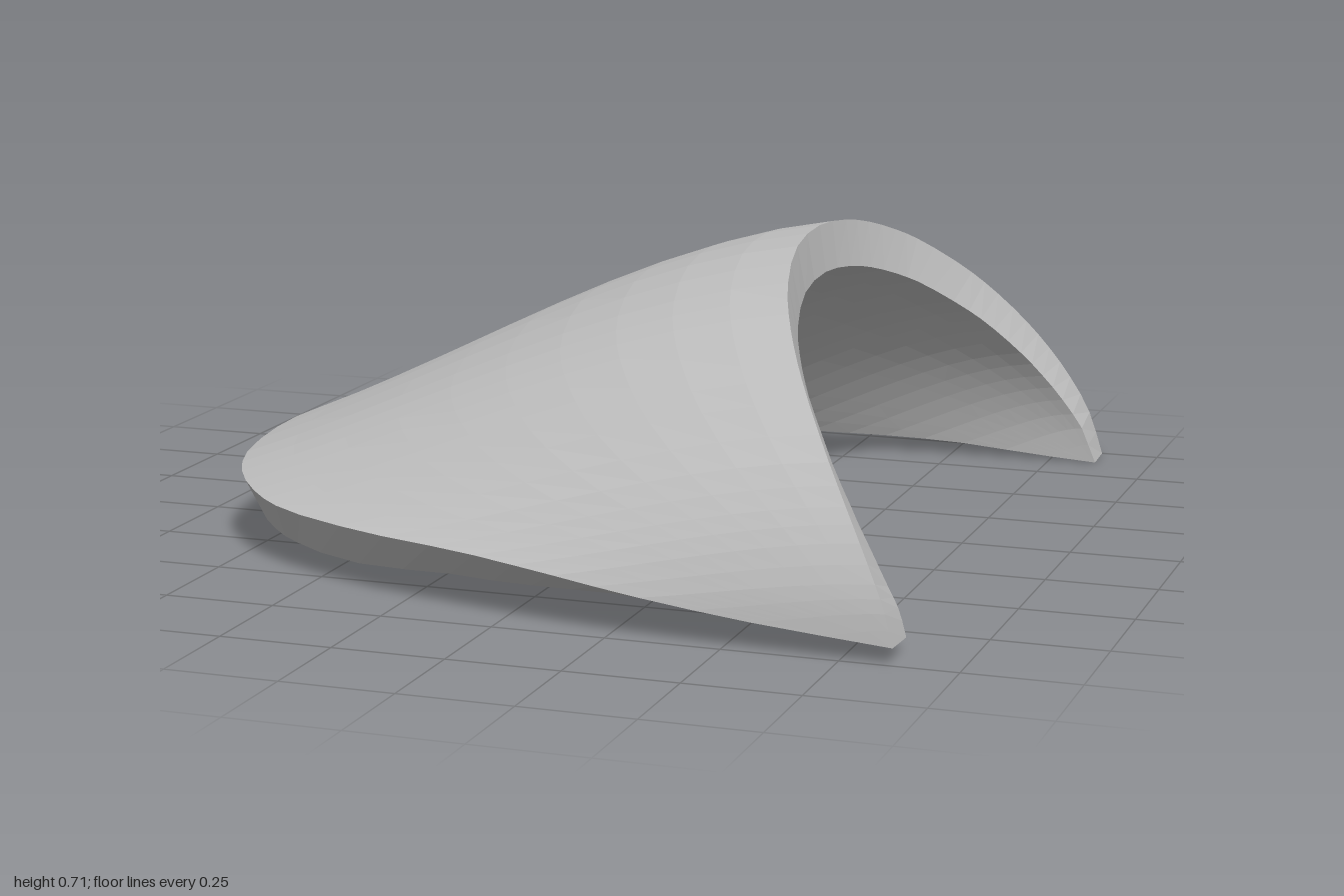
import * as THREE from 'three';

const THICKNESS = 0.108;
const COLS = 46;
const ROWS = 10;

// Lower edge, from one foot round the back to the other: x, y, z and the matching arch angle
const EDGE = [
  [0.86, 0, -1, -90], [0.62, 0.035, -0.985, -81], [0.4, 0.07, -0.96, -73],
  [0.2, 0.095, -0.92, -66], [0, 0.115, -0.86, -59], [-0.2, 0.125, -0.78, -51],
  [-0.37, 0.13, -0.7, -44], [-0.6, 0.135, -0.55, -33], [-0.7, 0.143, -0.45, -27],
  [-0.79, 0.16, -0.33, -19], [-0.84, 0.178, -0.2, -11.5], [-0.865, 0.193, -0.02, -1],
  [-0.867, 0.192, 0.2, 12], [-0.84, 0.178, 0.42, 25], [-0.79, 0.163, 0.54, 33],
  [-0.7, 0.148, 0.65, 40], [-0.6, 0.14, 0.73, 47], [-0.35, 0.14, 0.86, 58],
  [-0.1, 0.135, 0.93, 66], [0.1, 0.118, 0.97, 72], [0.3, 0.092, 0.99, 79],
  [0.55, 0.062, 0.995, 84], [0.86, 0.035, 0.995, 90],
];

// Point on the arched opening at an angle from the crown
function rimPoint(degrees) {
  const a = THREE.MathUtils.degToRad(degrees);
  const c = Math.max(0, Math.cos(a));
  const foot = 0.0175 + 0.0175 * Math.sin(a);
  return new THREE.Vector3(
    0.4 + 0.46 * (1 - Math.pow(c, 1.4)),
    foot + (0.71 - foot) * c,
    0.9975 * Math.sin(a) - 0.0025,
  );
}

const edgeCurve = new THREE.CatmullRomCurve3(EDGE.map(([x, y, z]) => new THREE.Vector3(x, y, z)));
const rimCurve = new THREE.CatmullRomCurve3(EDGE.map((p) => rimPoint(p[3])));

// Outer surface: u runs round the arch, v from the lower edge to the opening
function outerPoint(u, v) {
  const e = edgeCurve.getPoint(u);
  const r = rimCurve.getPoint(u);
  const rise = v + 0.65 * v * v * (1 - v);
  const y = e.y + (r.y - e.y) * rise;
  return e.lerp(r, v).setY(y);
}

function outerNormal(u, v) {
  const d = 0.002;
  const atFoot = u < 0.001 || u > 0.999;
  const uu = THREE.MathUtils.clamp(u, 0.008, 0.992);
  const vv = atFoot ? 0.5 : v;
  const v0 = Math.max(0, vv - d);
  const v1 = Math.min(1, vv + d);
  const du = outerPoint(uu + d, vv).sub(outerPoint(uu - d, vv));
  const dv = outerPoint(uu, v1).sub(outerPoint(uu, v0));
  return du.cross(dv).normalize();
}

// Closed solid: outer skin, inner skin, opening rim and lower edge
function shellGeometry() {
  const positions = [];
  const index = [];
  for (let i = 0; i <= COLS; i++) {
    for (let j = 0; j <= ROWS; j++) {
      const u = i / COLS;
      const v = j / ROWS;
      const p = outerPoint(u, v);
      const q = p.clone().addScaledVector(outerNormal(u, v), -THICKNESS);
      q.y = Math.max(0, q.y);
      positions.push(p.x, p.y, p.z, q.x, q.y, q.z);
    }
  }
  const at = (i, j, inner) => 2 * (i * (ROWS + 1) + j) + inner;
  const quad = (a, b, c, d) => index.push(a, b, c, a, c, d);

  for (let i = 0; i < COLS; i++) {
    for (let j = 0; j < ROWS; j++) {
      for (const s of [0, 1]) {
        const a = at(i, j, s), b = at(i + 1, j, s);
        const c = at(i + 1, j + 1, s), d = at(i, j + 1, s);
        // The skins narrow to a point at each foot
        if (i < COLS - 1) index.push(...(s ? [a, c, b] : [a, b, c]));
        else index.push(...(s ? [a, d, b] : [a, b, d]));
        if (i > 0 && i < COLS - 1) index.push(...(s ? [a, d, c] : [a, c, d]));
      }
    }
    quad(at(i, ROWS, 0), at(i + 1, ROWS, 0), at(i + 1, ROWS, 1), at(i, ROWS, 1));
    quad(at(i + 1, 0, 0), at(i, 0, 0), at(i, 0, 1), at(i + 1, 0, 1));
  }
  const geometry = new THREE.BufferGeometry();
  geometry.setAttribute('position', new THREE.Float32BufferAttribute(positions, 3));
  geometry.setIndex(index);
  const faceted = geometry.toNonIndexed();
  faceted.computeVertexNormals();
  return faceted;
}

export function createModel() {
  const group = new THREE.Group();
  group.name = 'archedShell';
  const grey = new THREE.MeshStandardMaterial({ color: 0xc0c0c0, flatShading: true });
  grey.name = 'light grey';
  const shell = new THREE.Mesh(shellGeometry(), grey);
  shell.name = 'curvedShell';
  group.add(shell);
  return group;
}
